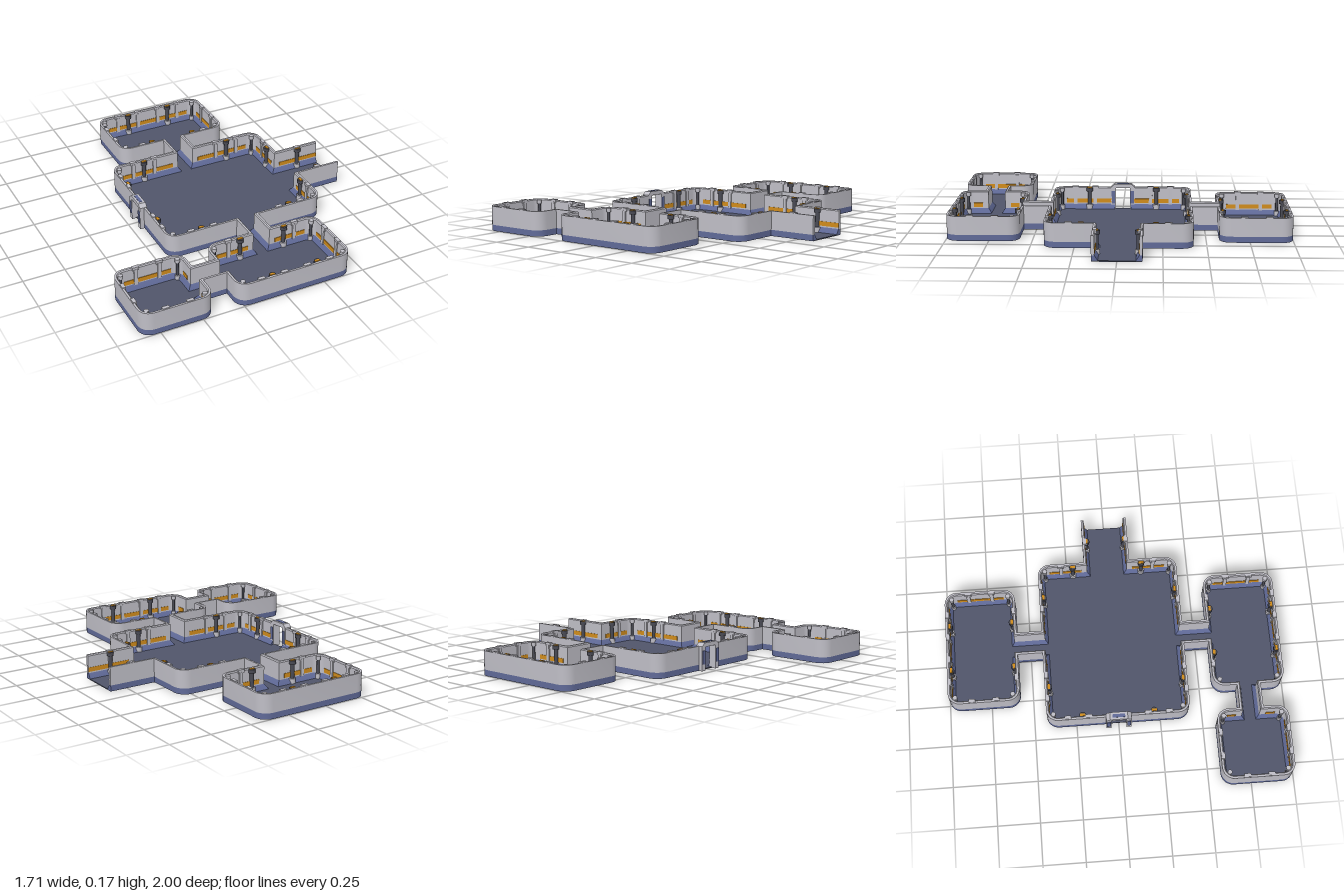
import * as THREE from 'three';
import { toCreasedNormals } from 'three/addons/utils/BufferGeometryUtils.js';

const material = (name, color) => {
  const m = new THREE.MeshStandardMaterial({ color });
  m.name = name;
  return m;
};

export function createModel() {
  const model = new THREE.Group();
  model.name = 'stationDeck';
  const gray = material('wallGray', 0xbfbec6);
  const blue = material('baseBlue', 0x606a98);
  const floorMat = material('floorSlate', 0x50556a);
  const orange = material('stripeOrange', 0xd08c1c);
  const dark = material('postDark', 0x494a54);
  const R = 0.07, ARC = 6, TILE = 0.1425, WALL = 0.018;

  const add = (name, geo, mat, x = 0, y = 0, z = 0) => {
    const mesh = new THREE.Mesh(geo, mat);
    mesh.name = name;
    mesh.position.set(x, y, z);
    model.add(mesh);
    return mesh;
  };

  // Two wall paths (x, z): east opening to door, and door back to east opening
  const north = [[0.855, -0.14], [0.57, -0.14], [0.57, -0.425], [0.14, -0.425], [0.14, -0.575],
    [0.425, -0.575], [0.425, -1], [-0.285, -1], [-0.285, -0.575], [0, -0.575], [0, -0.425],
    [-0.43, -0.425], [-0.43, -0.05]];
  const south = [[-0.43, 0.05], [-0.43, 0.425], [0, 0.425], [0, 0.575], [-0.285, 0.575],
    [-0.285, 0.715], [-0.43, 0.715], [-0.43, 0.575], [-0.855, 0.575], [-0.855, 1], [-0.43, 1],
    [-0.43, 0.855], [-0.285, 0.855], [-0.285, 1], [0.425, 1], [0.425, 0.575], [0.14, 0.575],
    [0.14, 0.425], [0.57, 0.425], [0.57, 0.14], [0.855, 0.14]];

  // Edge directions, inward normals and corner types of a path
  const analyse = (pts) => {
    const v = pts.map((p) => new THREE.Vector2(...p));
    const edges = v.slice(1).map((b, i) => {
      const t = b.clone().sub(v[i]);
      const len = t.length();
      t.normalize();
      return { a: v[i], t, len, n: new THREE.Vector2(t.y, -t.x) };
    });
    const kind = v.map((_, i) => (i === 0 || i === v.length - 1) ? 'end'
      : edges[i].t.dot(edges[i - 1].n) > 0 ? 'convex' : 'concave');
    return { v, edges, kind };
  };
  const paths = [analyse(north), analyse(south)];

  // Path moved inward by d, with convex corners rounded
  const offset = ({ v, edges, kind }, d) => {
    const out = [];
    v.forEach((p, i) => {
      const n1 = (edges[i - 1] || edges[i]).n, n2 = (edges[i] || edges[i - 1]).n;
      if (kind[i] === 'end') out.push(p.clone().addScaledVector(n1, d));
      else if (kind[i] === 'concave') out.push(p.clone().addScaledVector(n1, d).addScaledVector(n2, d));
      else {
        for (let k = 0; k <= ARC; k++) {
          const a = (k / ARC) * Math.PI / 2;
          out.push(p.clone().addScaledVector(n1, R - (R - d) * Math.cos(a))
            .addScaledVector(n2, R - (R - d) * Math.sin(a)));
        }
      }
    });
    return out;
  };

  // Sweeps a closed convex profile of (inset, height) points along a path
  const sweep = (path, profile) => {
    const rows = profile.map(([d, y]) => offset(path, d).map((p) => [p.x, y, p.y]));
    const m = profile.length, last = rows[0].length - 1, pos = [];
    for (let i = 0; i < last; i++) {
      for (let j = 0; j < m; j++) {
        const k = (j + 1) % m;
        const a = rows[j][i], b = rows[k][i], c = rows[k][i + 1], e = rows[j][i + 1];
        pos.push(...a, ...b, ...c, ...a, ...c, ...e);
      }
    }
    for (let j = 1; j < m - 1; j++) {
      pos.push(...rows[0][0], ...rows[j + 1][0], ...rows[j][0]);
      pos.push(...rows[0][last], ...rows[j][last], ...rows[j + 1][last]);
    }
    const geo = new THREE.BufferGeometry();
    geo.setAttribute('position', new THREE.Float32BufferAttribute(pos, 3));
    return toCreasedNormals(geo, 0.4);
  };

  // Floor slab following the whole outline
  const outline = paths.flatMap((p) => offset(p, 0.003)).map((p) => new THREE.Vector2(p.x, -p.y));
  const slab = new THREE.ExtrudeGeometry(new THREE.Shape(outline), { depth: 0.006, bevelEnabled: false });
  add('floor', slab.rotateX(-Math.PI / 2), floorMat);

  // Box lying against an edge: s along it, from inset d0 to d1, from y0 to y1
  const edgeBox = (name, mat, e, s, len, d0, d1, y0, y1) => {
    const c = e.a.clone().addScaledVector(e.t, s).addScaledVector(e.n, (d0 + d1) / 2);
    const alongX = Math.abs(e.t.x) > 0.5, depth = d1 - d0;
    add(name, new THREE.BoxGeometry(alongX ? len : depth, y1 - y0, alongX ? depth : len),
      mat, c.x, (y0 + y1) / 2, c.y);
  };

  // Post with a foot and a cap
  const post = (name, p, r, shaftMat, capMat) => {
    const part = (suffix, mat, radius, y0, y1) => add(name + suffix,
      new THREE.CylinderGeometry(radius, radius, y1 - y0, 12), mat, p.x, (y0 + y1) / 2, p.y);
    part('Foot', gray, r, 0.006, 0.035);
    part('Shaft', shaftMat, r * 0.6, 0.035, 0.12);
    part('Cap', capMat, r, 0.12, 0.142);
  };

  for (const path of paths) {
    add('wallBase', sweep(path, [[0, 0.002], [0.038, 0.002], [0.034, 0.012], [WALL, 0.036], [0, 0.036]]), blue);
    add('wall', sweep(path, [[0, 0.036], [WALL, 0.036], [WALL, 0.139], [0.012, 0.145], [0, 0.145]]), gray);

    path.edges.forEach((e, i) => {
      const k0 = path.kind[i], k1 = path.kind[i + 1];
      // Ribs and top clips at the panel seams
      const tiles = Math.round(e.len / TILE);
      for (let k = 1; k < tiles; k++) {
        const s = (k * e.len) / tiles;
        edgeBox('seamRib', gray, e, s, 0.022, WALL - 0.002, 0.026, 0.034, 0.136);
        edgeBox('seamClip', gray, e, s, 0.04, 0.003, 0.024, 0.13, 0.15);
      }
      if (k0 === 'concave' && k1 === 'concave') return;
      // Orange stripe on the straight part of the wall
      const trim = (k) => (k === 'convex' ? R : k === 'concave' ? WALL : 0);
      const s0 = trim(k0), s1 = e.len - trim(k1);
      edgeBox('wallStripe', orange, e, (s0 + s1) / 2, s1 - s0, WALL - 0.001, WALL + 0.003, 0.044, 0.07);
      // Wall posts at set distances from the room corners
      const spots = [];
      const shortSide = k0 === 'convex' && k1 === 'convex' && e.len < 0.5;
      if (e.len > 0.28 && !shortSide) {
        if (k0 === 'convex') spots.push(1.5 * TILE);
        if (k1 === 'convex') spots.push(e.len - 1.5 * TILE);
        if (!spots.length) spots.push(e.len / 2);
      }
      for (const s of spots) {
        post('wallPost', e.a.clone().addScaledVector(e.t, s).addScaledVector(e.n, 0.024), 0.02, dark, dark);
        edgeBox('postPlate', orange, e, s, 0.03, WALL, 0.032, 0.142, 0.146);
      }
    });

    // Posts in the rounded room corners
    path.v.forEach((p, i) => {
      if (path.kind[i] !== 'convex') return;
      const q = p.clone().addScaledVector(path.edges[i - 1].n, 0.042).addScaledVector(path.edges[i].n, 0.042);
      post('cornerPost', q, 0.014, dark, gray);
    });
  }

  // Door frame in the west wall, drawn in (z, y) and extruded along x
  const frame = new THREE.Shape([[-0.075, 0], [-0.045, 0], [-0.045, 0.14], [0.045, 0.14], [0.045, 0],
    [0.075, 0], [0.075, 0.145], [0.052, 0.164], [-0.052, 0.164], [-0.075, 0.145]]
    .map((p) => new THREE.Vector2(...p)));
  const frameGeo = new THREE.ExtrudeGeometry(frame, { depth: 0.046, bevelEnabled: false });
  add('doorFrame', frameGeo.rotateY(Math.PI / 2), gray, -0.455);
  add('doorTopInset', new THREE.BoxGeometry(0.02, 0.004, 0.075), blue, -0.432, 0.164, 0);
  for (const side of [-1, 1]) {
    for (const x of [-0.456, -0.408]) {
      add('doorPanel', new THREE.BoxGeometry(0.006, 0.08, 0.022), blue, x, 0.08, side * 0.06);
    }
  }
  return model;
}
